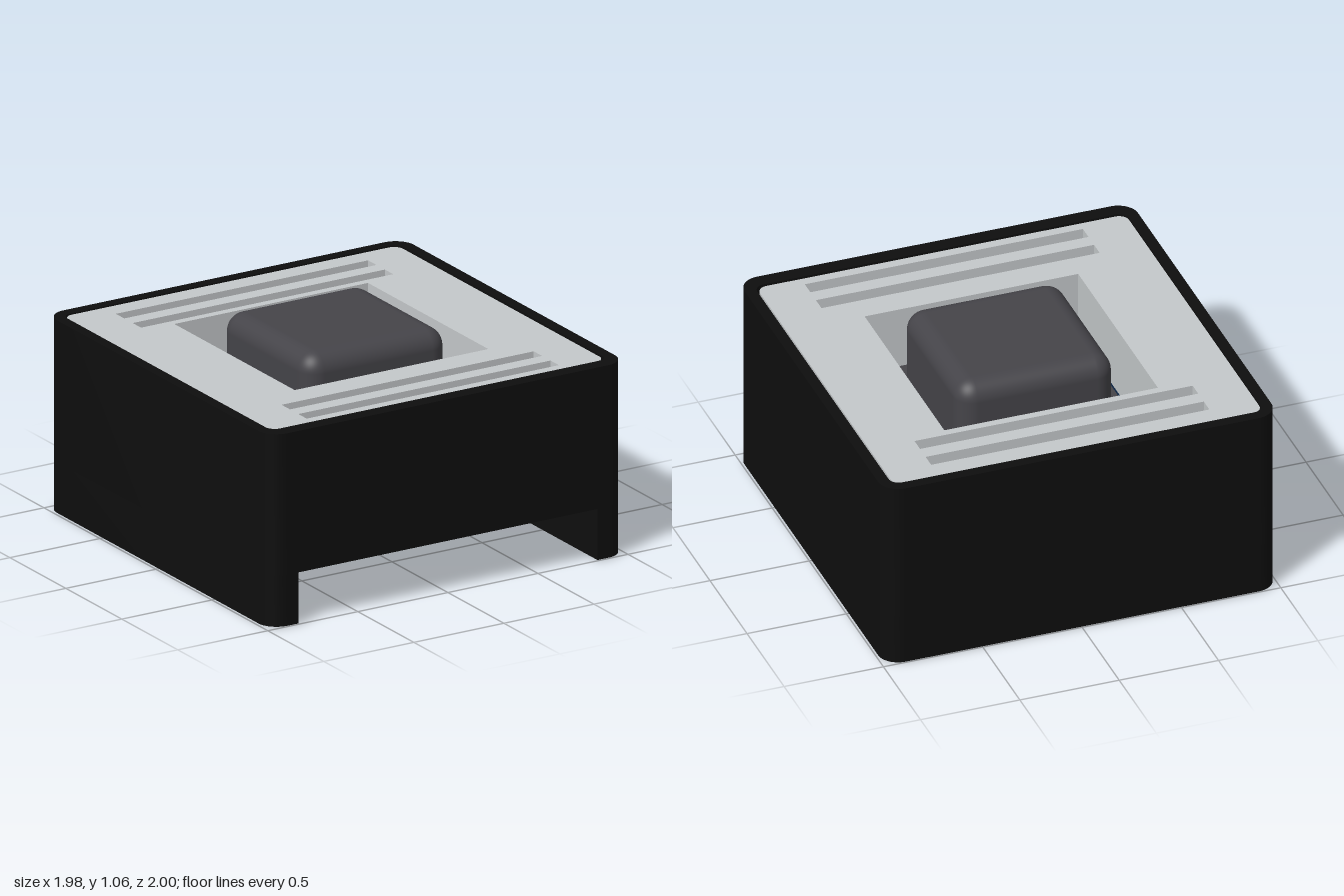
import * as THREE from 'three';
import { toCreasedNormals } from 'three/addons/utils/BufferGeometryUtils.js';
import { RoundedBoxGeometry } from 'three/addons/geometries/RoundedBoxGeometry.js';

const mat = (name, color) => {
  const m = new THREE.MeshStandardMaterial({ color });
  m.name = name;
  return m;
};

// Rounded rectangle outline; shape y becomes model z
function outline(x0, x1, z0, z1, r, Type = THREE.Shape) {
  const s = new Type();
  if (r === 0) {
    s.moveTo(x0, z0).lineTo(x1, z0).lineTo(x1, z1).lineTo(x0, z1).lineTo(x0, z0);
    return s;
  }
  s.absarc(x1 - r, z0 + r, r, -Math.PI / 2, 0);
  s.absarc(x1 - r, z1 - r, r, 0, Math.PI / 2);
  s.absarc(x0 + r, z1 - r, r, Math.PI / 2, Math.PI);
  s.absarc(x0 + r, z0 + r, r, Math.PI, Math.PI * 1.5);
  s.closePath();
  return s;
}

// Upright slab of a plan shape between two heights
function slab(shape, y0, y1) {
  const g = new THREE.ExtrudeGeometry(shape, { depth: y1 - y0, bevelEnabled: false, curveSegments: 8 });
  g.rotateX(Math.PI / 2);
  g.translate(0, y1, 0);
  return toCreasedNormals(g, 0.6);
}

export function createModel() {
  const model = new THREE.Group();
  const black = mat('blackPlastic', 0x0e0e0e);
  const grey = mat('lightGreyLid', 0xc4c8ca);
  const charcoal = mat('charcoalButton', 0x454449);
  const navy = mat('navyBoard', 0x0c2340);
  const gold = mat('goldPins', 0xb8974e);

  const add = (name, geometry, material, x = 0, y = 0, z = 0, parent = model) => {
    const m = new THREE.Mesh(geometry, material);
    m.name = name;
    m.position.set(x, y, z);
    parent.add(m);
    return m;
  };

  // Upper shell: square ring around the board and lid
  const W = 0.99, R = 0.1, notchY = 0.26, inner = 0.83;
  const ring = outline(-W, W, -1, 1, R);
  ring.holes.push(outline(-0.935, 0.935, -0.945, 0.925, 0.05, THREE.Path));
  add('upperShell', slab(ring, notchY, 0.97), black);

  // Lower shell: three walls, open at the front
  const u = new THREE.Shape();
  u.absarc(W - R, -1 + R, R, -Math.PI / 2, 0);
  u.absarc(W - R, 1 - R, R, 0, Math.PI / 2);
  u.lineTo(inner, 1).lineTo(inner, -0.84).lineTo(-inner, -0.84).lineTo(-inner, 1);
  u.absarc(-W + R, 1 - R, R, Math.PI / 2, Math.PI);
  u.absarc(-W + R, -1 + R, R, Math.PI, Math.PI * 1.5);
  u.closePath();
  add('lowerShell', slab(u, 0.004, notchY), black);

  // Circuit board
  add('circuitBoard', slab(outline(-0.934, 0.934, -0.944, 0.924, 0.05), 0.255, 0.41), navy);

  // Lid with a square opening and four slots
  const lid = outline(-0.932, 0.925, -0.94, 0.915, 0.05);
  lid.holes.push(outline(-0.54, 0.535, -0.575, 0.5, 0, THREE.Path));
  for (const z of [-0.84, -0.69, 0.64, 0.79]) {
    lid.holes.push(outline(-0.7, 0.7, z, z + 0.075, 0, THREE.Path));
  }
  add('lid', slab(lid, 0.62, 0.965), grey);

  // Push switch: square base and rounded button
  add('switchBase', new THREE.BoxGeometry(1.03, 0.24, 1.06), charcoal, 0, 0.53, 0);
  add('button', new RoundedBoxGeometry(0.79, 0.46, 0.79, 6, 0.095), charcoal, 0, 0.83, -0.012);
  add('boardStrip', new THREE.BoxGeometry(1.5, 0.1, 0.1), charcoal, 0, 0.46, 0.778);

  // Right-angle pin header: blocks joined by a narrower spine
  const header = new THREE.Group();
  header.name = 'pinHeader';
  model.add(header);
  add('headerSpine', new THREE.BoxGeometry(1.5, 0.22, 0.2), black, 0, 0.14, -0.255, header);
  const tip = new THREE.CylinderGeometry(0.021 * Math.SQRT2, 0.032 * Math.SQRT2, 0.04, 4)
    .rotateY(Math.PI / 4).rotateX(Math.PI / 2).toNonIndexed();
  tip.computeVertexNormals();
  for (let i = 0; i < 6; i++) {
    const x = (i - 2.5) * 0.256;
    const block = outline(-0.127, 0.127, -0.127, 0.127, 0);
    block.curves.length = 0;
    const c = 0.127, k = 0.1;
    // Chamfered block, seen from the front
    const oct = new THREE.Shape([[k, -c], [c, -k], [c, k], [k, c], [-k, c], [-c, k], [-c, -k], [-k, -c]]
      .map(([a, b]) => new THREE.Vector2(a, b)));
    add('headerBlock', new THREE.ExtrudeGeometry(oct, { depth: 0.25, bevelEnabled: false }), black, x, 0.127, -0.38, header);
    add('pin', new THREE.BoxGeometry(0.064, 0.064, 0.98), gold, x, 0.13, -0.03, header);
    add('pinTip', tip, gold, x, 0.13, 0.48, header);
    add('pinTail', new THREE.BoxGeometry(0.064, 0.36, 0.064), gold, x, 0.278, -0.52, header);
  }
  return model;
}
